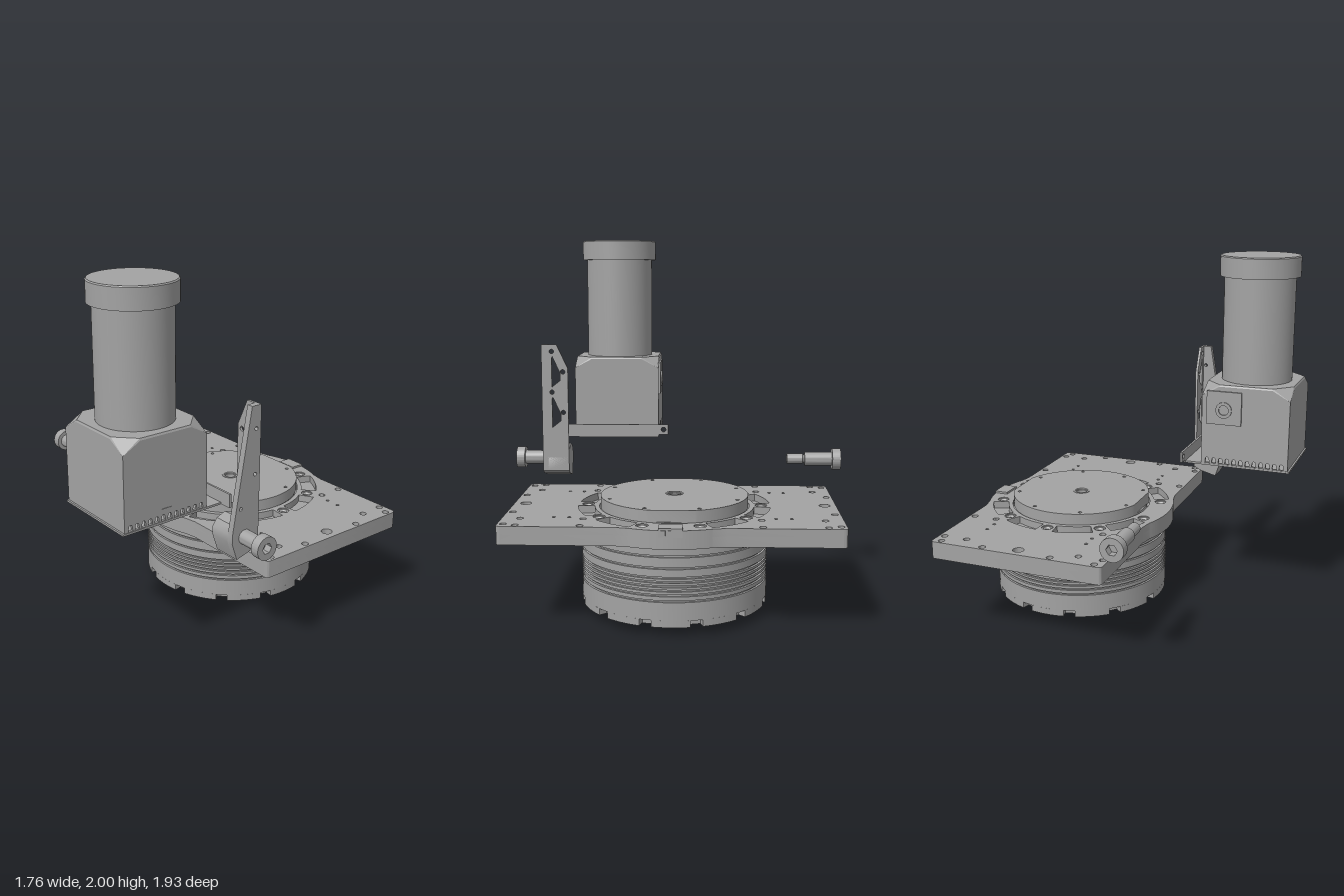
import * as THREE from 'three';
import { toCreasedNormals } from 'three/addons/utils/BufferGeometryUtils.js';
import { ConvexGeometry } from 'three/addons/geometries/ConvexGeometry.js';

const metal = new THREE.MeshStandardMaterial({ color: 0xa3a3a3 });
metal.name = 'machinedGrey';
const CX = 0.325; // drum axis
const V = (x, y) => new THREE.Vector2(x, y);
const rad = THREE.MathUtils.degToRad;

function add(parent, name, geo, x = 0, y = 0, z = 0) {
  const mesh = new THREE.Mesh(geo, metal);
  mesh.name = name;
  mesh.position.set(x, y, z);
  parent.add(mesh);
  return mesh;
}
const box = (w, h, d) => new THREE.BoxGeometry(w, h, d);
const poly = (pts) => new THREE.Shape(pts.map((p) => V(p[0], p[1])));
const circle = (x, y, r) => new THREE.Path().absarc(x, y, r, 0, Math.PI * 2, true);
const extrude = (shape, depth) => toCreasedNormals(
  new THREE.ExtrudeGeometry(shape, { depth, bevelEnabled: false, curveSegments: 32 }), 0.6);
// Extrudes a plan outline (x, z) upwards from y
const plan = (shape, y, h) => extrude(shape, h).rotateX(Math.PI / 2).translate(0, y + h, 0);
// Closed lathe from a counterclockwise (radius, y) loop
const lathe = (pts, seg = 72) => toCreasedNormals(
  new THREE.LatheGeometry([...pts, pts[0]].map((p) => V(p[0], p[1])), seg), 0.5);
function sector(cx, cy, r0, r1, a0, a1) {
  const p = new THREE.Path();
  p.absarc(cx, cy, r1, a0, a1, false);
  p.absarc(cx, cy, r0, a1, a0, true);
  p.closePath();
  return p;
}

// Rectangle with a round bulge on both long sides
function plateOutline() {
  const R = 0.545, dx = 0.49, a = Math.acos(dx / R), s = new THREE.Shape();
  const L = -0.165, Rt = 0.815, Z = 0.872, c = 0.025;
  s.moveTo(L + c, -Z).lineTo(Rt - c, -Z).quadraticCurveTo(Rt, -Z, Rt, -Z + c);
  s.lineTo(Rt, -0.28);
  s.absarc(CX, 0, R, -a + 0.06, a - 0.06, false);
  s.lineTo(Rt, 0.28).lineTo(Rt, Z - c).quadraticCurveTo(Rt, Z, Rt - c, Z);
  s.lineTo(L + c, Z).quadraticCurveTo(L, Z, L, Z - c).lineTo(L, 0.28);
  s.absarc(CX, 0, R, Math.PI - a + 0.06, Math.PI + a - 0.06, false);
  s.lineTo(L, -0.28).lineTo(L, -Z + c).quadraticCurveTo(L, -Z, L + c, -Z);
  return s;
}

function mountingPlate() {
  const g = new THREE.Group();
  g.name = 'mountingPlate';
  const top = plateOutline(), bottom = plateOutline();
  const bolts = [[CX, 0.81, 0.03]];
  for (const x of [-0.115, 0.13, 0.52, 0.765]) bolts.push([x, 0.842, 0.018]);
  for (const x of [-0.135, 0, 0.65, 0.785]) bolts.push([x, 0.778, 0.018], [x, 0.455, 0.018]);
  for (const side of [-1, 1]) {
    for (const [x, z, r] of bolts) for (const s of [top, bottom]) s.holes.push(circle(x, side * z, r));
    for (const x of [0.03, 0.62]) for (const z of [0.53, 0.61]) top.holes.push(circle(x, side * z, 0.009));
    // Underside weight-saving pockets
    for (const [a, b] of [[-0.1, 0.27], [0.38, 0.75]]) {
      bottom.holes.push(poly([[a, 0.53], [a, 0.7], [a + 0.05, 0.745], [b - 0.05, 0.745], [b, 0.7], [b, 0.53]]
        .map(([x, z]) => [x, side * z])));
    }
  }
  top.holes.push(circle(CX, 0, 0.405));
  bottom.holes.push(circle(CX, 0, 0.39));
  // Arc slots and screws around the turntable
  for (const mid of [36, 72, 108, 144, 216, 252, 288, 324]) {
    top.holes.push(sector(CX, 0, 0.43, 0.518, rad(mid - 12.5), rad(mid + 12.5)));
  }
  for (let i = 0; i < 10; i++) {
    const a = rad(18 + i * 36), x = CX + 0.468 * Math.cos(a), z = 0.468 * Math.sin(a);
    top.holes.push(circle(x, z, 0.032));
    add(g, 'ringScrew', lathe([[0.014, 0.515], [0.03, 0.515], [0.03, 0.555], [0.022, 0.555], [0.014, 0.545]], 20), x, 0, z);
  }
  add(g, 'plateTop', plan(top, 0.52, 0.04));
  add(g, 'plateUnderside', plan(bottom, 0.465, 0.055));
  // Side connector
  add(g, 'connector', box(0.08, 0.045, 0.12), 0.832, 0.549, 0);
  for (const z of [-0.035, 0, 0.035]) add(g, 'connectorPort', box(0.006, 0.025, 0.022), 0.874, 0.549, z);
  return g;
}

function rotaryDrum() {
  const g = new THREE.Group();
  g.name = 'rotaryDrum';
  g.position.x = CX;
  // Body with cooling grooves
  const body = [[0.03, 0.03], [0.405, 0.03], [0.405, 0.075], [0.46, 0.075], [0.46, 0.085], [0.5, 0.085]];
  for (const y of [0.185, 0.215, 0.24, 0.262, 0.284, 0.306, 0.355, 0.415]) {
    body.push([0.5, y - 0.005], [0.488, y - 0.005], [0.488, y + 0.005], [0.5, y + 0.005]);
  }
  body.push([0.5, 0.465], [0.39, 0.465], [0.39, 0.56], [0.03, 0.56]);
  add(g, 'drumBody', lathe(body, 96));
  // Notched lower rim
  const n = 12;
  for (let i = 0; i < n; i++) {
    const a = rad(15 + (i * 360) / n), s = new THREE.Shape();
    s.absarc(0, 0, 0.5, a + 0.065, a + (Math.PI * 2) / n - 0.065, false);
    s.absarc(0, 0, 0.455, a + (Math.PI * 2) / n - 0.065, a + 0.065, true);
    add(g, 'rimSegment', plan(s, 0.05, 0.036));
  }
  add(g, 'rimInnerRing', lathe([[0.405, 0.05], [0.457, 0.05], [0.457, 0.08], [0.405, 0.08]]));
  // Spoked hub underneath
  const hub = new THREE.Shape().absarc(0, 0, 0.25, 0, Math.PI * 2, false);
  hub.holes.push(circle(0, 0, 0.03));
  for (let i = 0; i < 5; i++) {
    const a = rad(i * 72 + 18);
    hub.holes.push(sector(0, 0, 0.085, 0.205, a - 0.4, a + 0.4));
    const arm = add(g, 'hubSpoke', box(0.09, 0.02, 0.03), 0.145 * Math.cos(a), 0.022, 0.145 * Math.sin(a));
    arm.rotation.y = -a;
  }
  add(g, 'hub', plan(hub, 0, 0.032));
  add(g, 'hubRing', lathe([[0.33, 0.022], [0.36, 0.022], [0.36, 0.032], [0.33, 0.032]]));
  // Turntable with two flats
  const f = Math.acos(0.38 / 0.398), t = new THREE.Shape();
  t.absarc(0, 0, 0.398, f, Math.PI - f, false);
  t.absarc(0, 0, 0.398, Math.PI + f, Math.PI * 2 - f, false);
  t.closePath();
  t.holes.push(circle(0, 0, 0.032));
  for (let i = 0; i < 8; i++) {
    const a = rad(22.5 + i * 45);
    t.holes.push(circle(0.365 * Math.cos(a), 0.365 * Math.sin(a), 0.01));
  }
  add(g, 'turntable', plan(t, 0.555, 0.066));
  add(g, 'centreBushing', lathe([[0.03, 0.55], [0.048, 0.55], [0.048, 0.624], [0.038, 0.624], [0.03, 0.615]], 32));
  return g;
}

function motorUnit() {
  const g = new THREE.Group();
  g.name = 'motorUnit';
  g.position.set(-0.62, 0, 0.377);
  // Housing with clipped upper corners
  const pts = [];
  for (const sx of [-1, 1]) for (const sz of [-1, 1]) {
    for (const [x, y, z] of [[0.25, 0.875, 0.253], [0.15, 1.3, 0.248], [0.245, 1.3, 0.15], [0.25, 1.235, 0.253],
      [0.25, 1.29, 0.15], [0.15, 1.29, 0.253]]) pts.push(new THREE.Vector3(sx * x, y, sz * z));
  }
  add(g, 'motorHousing', new ConvexGeometry(pts));
  add(g, 'motorCylinder', lathe([[0, 1.29], [0.2, 1.29], [0.2, 1.9], [0, 1.9]]));
  add(g, 'motorCap', lathe([[0, 1.885], [0.225, 1.885], [0.225, 1.994], [0.219, 2], [0, 2]]));
  // Arched vents at the foot
  const comb = poly([[-0.25, 0.835], [0.25, 0.835], [0.25, 0.878], [-0.25, 0.878]]);
  for (let i = 0; i < 12; i++) {
    const x = -0.215 + i * 0.039, h = new THREE.Path();
    h.moveTo(x - 0.013, 0.842).lineTo(x + 0.013, 0.842).lineTo(x + 0.01, 0.864);
    h.absarc(x, 0.864, 0.01, 0, Math.PI, false);
    h.closePath();
    comb.holes.push(h);
  }
  for (const z of [-0.253, 0.238]) add(g, 'ventComb', extrude(comb, 0.015), 0, 0, z);
  add(g, 'ventSide', box(0.015, 0.045, 0.5), -0.2425, 0.856, 0);
  add(g, 'labelSlot', box(0.055, 0.009, 0.006), 0, 0.902, 0.253);
  // Cable port on the back
  add(g, 'portPanel', box(0.2, 0.19, 0.014), 0.12, 1.17, -0.257);
  add(g, 'portSocket', lathe([[0.028, -0.006], [0.046, -0.006], [0.046, 0.008], [0.028, 0.008]], 32)
    .rotateX(-Math.PI / 2), 0.12, 1.16, -0.264);
  // Foot bracket
  add(g, 'footPlate', box(0.61, 0.011, 0.51), 0.045, 0.8335, 0);
  const tab = poly([[-0.7, 0.83], [-0.12, 0.83], [-0.115, 0.845], [-0.06, 0.845], [-0.06, 0.905], [-0.7, 0.905]]);
  tab.holes.push(circle(-0.088, 0.875, 0.014));
  add(g, 'footTab', extrude(tab, 0.012).rotateY(Math.PI / 2), 0.342, 0, -0.377);
  return g;
}

function sensorArm() {
  const g = new THREE.Group();
  g.name = 'bracketArm';
  // Tapered front web
  const web = poly([[-0.17, 0.64], [-0.17, 1.39], [-0.23, 1.39], [-0.342, 0.73], [-0.342, 0.685], [-0.31, 0.59],
    [-0.21, 0.617]]);
  for (const [x, y] of [[-0.2, 1.27], [-0.2, 1.03], [-0.29, 0.865]]) web.holes.push(circle(x, y, 0.01));
  add(g, 'frontWeb', extrude(web, 0.035), 0, 0, 0.765);
  // Perforated side web
  const side = poly([[-0.8, 0.65], [-0.645, 0.65], [-0.645, 1.25], [-0.71, 1.39], [-0.8, 1.39]]);
  for (const [z, y] of [[0.74, 1.35], [0.675, 1.23], [0.74, 1.11], [0.675, 0.99]]) side.holes.push(circle(-z, y, 0.013));
  for (const [y0, y1] of [[1.14, 1.32], [0.9, 1.08]]) {
    side.holes.push(poly([[-0.74, y0], [-0.69, y0 + 0.04], [-0.69, y0 + 0.08], [-0.735, y1], [-0.74, y1 - 0.01]]));
  }
  add(g, 'sideWeb', extrude(side, 0.014).rotateY(Math.PI / 2), -0.184, 0, 0);
  // Clamp block at the pivot
  const clamp = poly([[-0.17, 0.64], [-0.17, 0.72], [-0.2, 0.77], [-0.26, 0.79], [-0.315, 0.77], [-0.342, 0.73],
    [-0.342, 0.685], [-0.31, 0.59], [-0.21, 0.617]]);
  add(g, 'clampBlock', extrude(clamp, 0.125), 0, 0, 0.645);
  return g;
}

// Stepped shoulder bolt along z with a hexagonal socket
function shoulderBolt(dir) {
  const g = new THREE.Group();
  g.name = dir > 0 ? 'frontBolt' : 'rearBolt';
  add(g, 'boltShank', lathe([[0, 0.65], [0.03, 0.65], [0.03, 0.742], [0.025, 0.745], [0.025, 0.755], [0.04, 0.755],
    [0.04, 0.925], [0, 0.925]], 32).rotateX(Math.PI / 2));
  const head = new THREE.Shape().absarc(0, 0, 0.063, 0, Math.PI * 2, false);
  head.holes.push(poly([0, 1, 2, 3, 4, 5].map((i) => [0.03 * Math.cos(rad(i * 60)), 0.03 * Math.sin(rad(i * 60))])));
  add(g, 'boltHead', extrude(head, 0.05), 0, 0, 0.917);
  g.position.set(-0.26, 0.705, 0);
  if (dir < 0) g.rotation.y = Math.PI;
  return g;
}

export function createModel() {
  const model = new THREE.Group();
  model.name = 'rotaryTableAssembly';
  model.add(mountingPlate(), rotaryDrum(), motorUnit(), sensorArm(), shoulderBolt(1), shoulderBolt(-1));
  return model;
}
